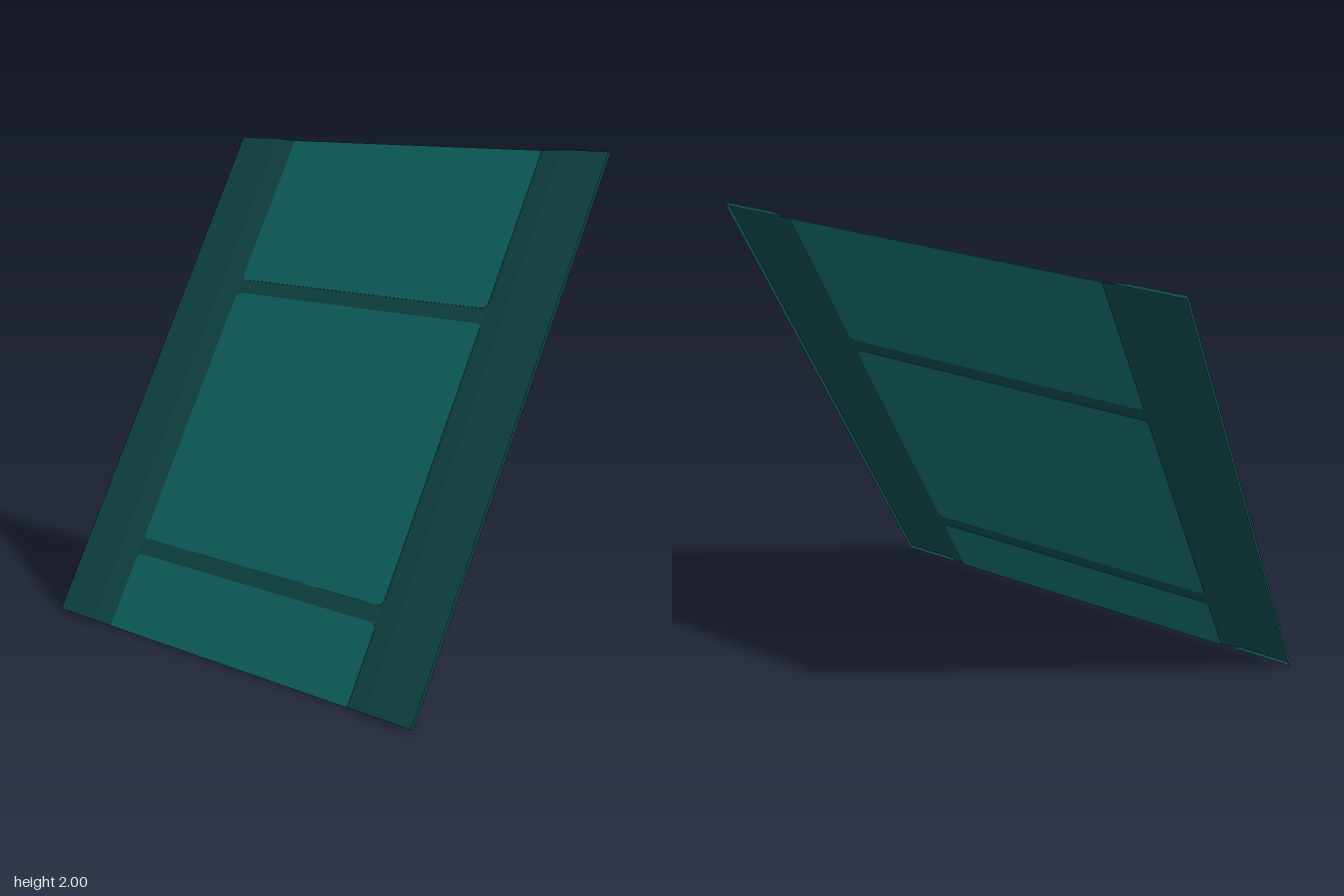
import * as THREE from 'three';

const LEN = 1.144; // half length along the slope
const H = 0.0075;  // half depth of the folded rails
const TILT = Math.atan(1.12 / 2);

export function createModel() {
  const frameMat = new THREE.MeshStandardMaterial({ color: 0x114848, side: THREE.DoubleSide });
  frameMat.name = 'darkTeal';
  const panelMat = new THREE.MeshStandardMaterial({ color: 0x106666 });
  panelMat.name = 'teal';

  const slab = new THREE.Group();
  slab.name = 'leaningSlab';

  // folded frame sheet: raised side rails, bevels and a recessed centre
  const profile = [[-1, -H], [-1, H], [-0.78, H], [-0.68, -H], [0.68, -H], [0.78, H], [1, H], [1, -H]];
  const pos = [];
  const at = (i, y) => [profile[i][0], y, profile[i][1]];
  const quad = (a, b, c, d) => pos.push(...a, ...b, ...c, ...a, ...c, ...d);
  for (let i = 0; i < profile.length - 1; i++) {
    quad(at(i, -LEN), at(i + 1, -LEN), at(i + 1, LEN), at(i, LEN));
  }
  // end caps of both rails
  for (const i of [0, 4]) {
    quad(at(i, LEN), at(i + 1, LEN), at(i + 2, LEN), at(i + 3, LEN));
    quad(at(i + 3, -LEN), at(i + 2, -LEN), at(i + 1, -LEN), at(i, -LEN));
  }
  const frameGeo = new THREE.BufferGeometry();
  frameGeo.setAttribute('position', new THREE.Float32BufferAttribute(pos, 3));
  frameGeo.computeVertexNormals();
  const frame = new THREE.Mesh(frameGeo, frameMat);
  frame.name = 'frame';
  slab.add(frame);

  // thin panels showing on both faces, rounded at the crossbars
  const addPanel = (name, y0, y1, r0, r1) => {
    const w = 0.68;
    const s = new THREE.Shape();
    s.moveTo(-w + r0, y0);
    s.lineTo(w - r0, y0);
    if (r0) s.quadraticCurveTo(w, y0, w, y0 + r0);
    s.lineTo(w, y1 - r1);
    if (r1) s.quadraticCurveTo(w, y1, w - r1, y1);
    else s.lineTo(w, y1);
    s.lineTo(-w + r1, y1);
    if (r1) s.quadraticCurveTo(-w, y1, -w, y1 - r1);
    s.lineTo(-w, y0 + r0);
    if (r0) s.quadraticCurveTo(-w, y0, -w + r0, y0);
    const geo = new THREE.ExtrudeGeometry(s, { depth: 0.004, bevelEnabled: false, curveSegments: 5 });
    geo.translate(0, 0, -H - 0.002);
    const mesh = new THREE.Mesh(geo, panelMat);
    mesh.name = name;
    slab.add(mesh);
  };
  addPanel('topPanel', 0.463, LEN, 0.03, 0);
  addPanel('middlePanel', -0.749, 0.4, 0.03, 0.03);
  addPanel('bottomPanel', -LEN, -0.817, 0, 0.03);

  // lean the slab backwards
  slab.rotation.x = -TILT;
  slab.position.y = 1;
  const model = new THREE.Group();
  model.name = 'leaningPanel';
  model.add(slab);
  return model;
}
